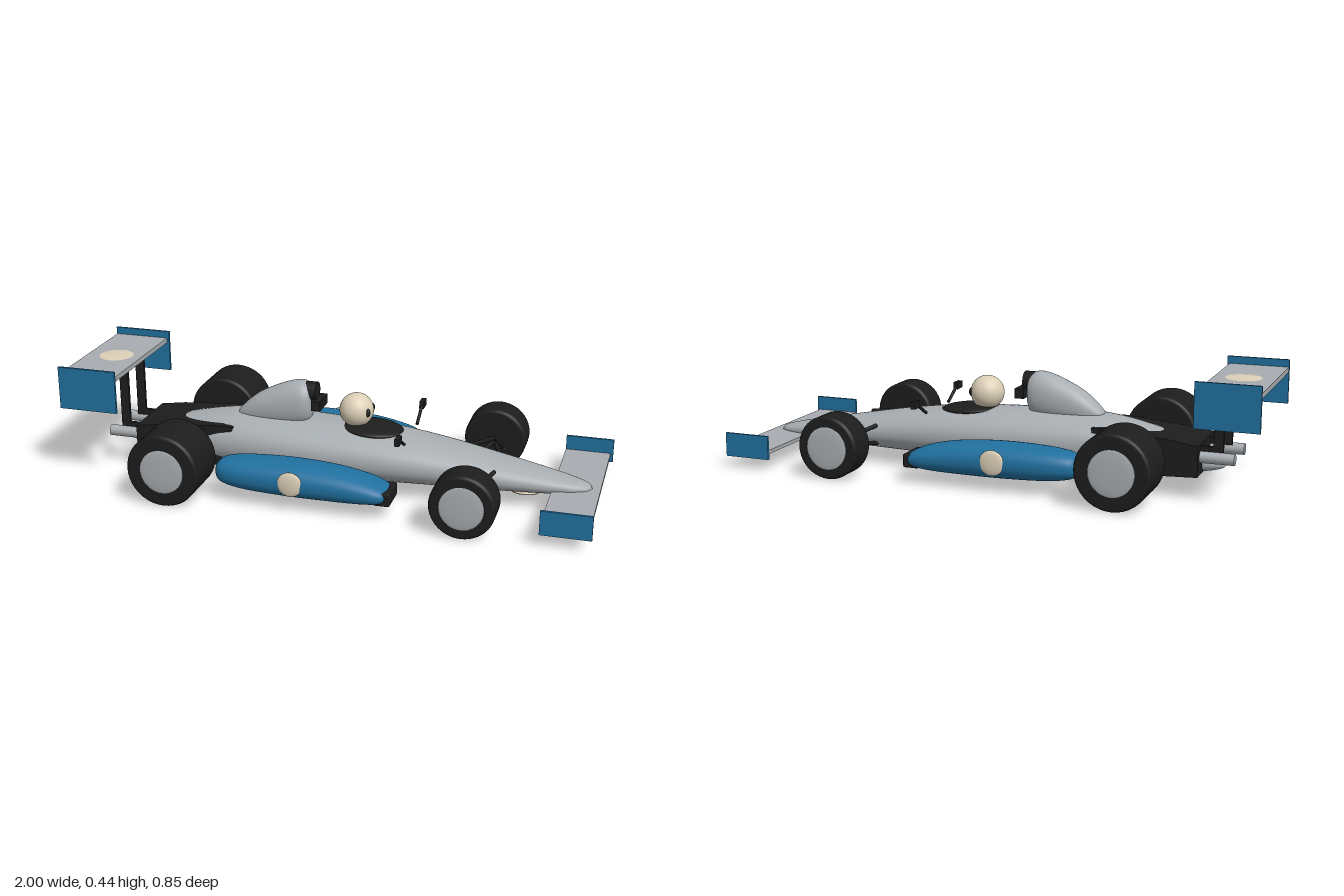
import * as THREE from 'three';
import { RoundedBoxGeometry } from 'three/addons/geometries/RoundedBoxGeometry.js';

const paint = (name, color) => {
  const m = new THREE.MeshStandardMaterial({ color });
  m.name = name;
  return m;
};

export function createModel() {
  const car = new THREE.Group();
  car.name = 'racingCar';
  const silver = paint('silver', 0xa8adb1);
  const blue = paint('blue', 0x20709f);
  const black = paint('black', 0x1d1d1d);
  const cream = paint('cream', 0xddd0b8);

  const add = (name, geometry, material, x = 0, y = 0, z = 0) => {
    const mesh = new THREE.Mesh(geometry, material);
    mesh.name = name;
    mesh.position.set(x, y, z);
    car.add(mesh);
    return mesh;
  };
  // Box given by its two opposite corners
  const box = (name, mat, [x0, y0, z0], [x1, y1, z1]) =>
    add(name, new THREE.BoxGeometry(x1 - x0, y1 - y0, z1 - z0), mat, (x0 + x1) / 2, (y0 + y1) / 2, (z0 + z1) / 2);
  const ellipsoid = (name, mat, pos, radii) =>
    add(name, new THREE.SphereGeometry(1, 32, 20).scale(...radii), mat, ...pos);
  const rod = (name, mat, a, b, r) => {
    const from = new THREE.Vector3(...a), dir = new THREE.Vector3(...b).sub(from);
    const mesh = add(name, new THREE.CylinderGeometry(r, r, dir.length(), 16), mat);
    mesh.position.copy(from).addScaledVector(dir, 0.5);
    mesh.quaternion.setFromUnitVectors(new THREE.Vector3(0, 1, 0), dir.normalize());
    return mesh;
  };

  // Smooth skin over sections [x, bottom, top, halfWidth]; power 1 is an ellipse, less is squarer
  const loft = (sections, power = 1, steps = 64, sides = 48) => {
    const heights = new THREE.CatmullRomCurve3(sections.map(s => new THREE.Vector3(s[0], s[1], s[2])), false, 'catmullrom');
    const widths = new THREE.CatmullRomCurve3(sections.map(s => new THREE.Vector3(s[3], 0, 0)), false, 'catmullrom');
    const pos = [], idx = [];
    const bend = v => Math.sign(v) * Math.abs(v) ** power;
    for (let i = 0; i <= steps; i++) {
      const h = heights.getPoint(i / steps), w = Math.max(0.0005, widths.getPoint(i / steps).x);
      for (let j = 0; j < sides; j++) {
        const a = j / sides * Math.PI * 2;
        pos.push(h.x, (h.y + h.z) / 2 + (h.z - h.y) / 2 * bend(Math.sin(a)), w * bend(Math.cos(a)));
        if (i === steps) continue;
        const k = i * sides, n = (j + 1) % sides;
        idx.push(k + j, k + sides + j, k + n, k + sides + j, k + sides + n, k + n);
      }
    }
    const g = new THREE.BufferGeometry();
    g.setAttribute('position', new THREE.Float32BufferAttribute(pos, 3));
    g.setIndex(idx);
    g.computeVertexNormals();
    return g;
  };

  // Body shell from tail to nose
  add('body', loft([
    [-0.835, 0.094, 0.096, 0], [-0.82, 0.08, 0.115, 0.025], [-0.75, 0.066, 0.145, 0.06],
    [-0.6, 0.054, 0.203, 0.105], [-0.4, 0.042, 0.242, 0.142], [-0.2, 0.038, 0.247, 0.157],
    [0, 0.037, 0.241, 0.16], [0.2, 0.039, 0.228, 0.154], [0.4, 0.044, 0.202, 0.136],
    [0.6, 0.048, 0.166, 0.11], [0.8, 0.053, 0.128, 0.076], [0.9, 0.057, 0.107, 0.051],
    [0.945, 0.063, 0.094, 0.028], [0.96, 0.077, 0.079, 0]], 0.92), silver);

  // Engine block
  const side = new THREE.Shape([[-0.76, 0.07], [-0.4, 0.055], [-0.37, 0.215], [-0.42, 0.217], [-0.66, 0.197], [-0.76, 0.182]]
    .map(p => new THREE.Vector2(...p)));
  add('engineBlock', new THREE.ExtrudeGeometry(side, { depth: 0.25, bevelEnabled: false }), black, 0, 0, -0.125);

  // Air intake behind the cockpit
  add('airbox', loft([
    [-0.385, 0.23, 0.234, 0], [-0.37, 0.21, 0.262, 0.033], [-0.3, 0.2, 0.322, 0.056],
    [-0.2, 0.2, 0.37, 0.065], [-0.14, 0.21, 0.385, 0.064], [-0.11, 0.225, 0.378, 0.058],
    [-0.095, 0.25, 0.36, 0.044], [-0.088, 0.3, 0.304, 0]], 0.9, 40, 40), silver);
  rod('intakeMouth', black, [-0.12, 0.345, 0], [-0.074, 0.345, 0], 0.037);
  box('headrest', black, [-0.085, 0.285, -0.05], [-0.05, 0.322, 0.05]);

  // Cockpit and driver
  ellipsoid('cockpit', black, [0.14, 0.225, 0], [0.118, 0.019, 0.094]).rotation.z = -0.05;
  ellipsoid('driverHead', cream, [0.078, 0.29, 0], [0.064, 0.064, 0.064]);

  // Flat round badges on the rear wing and under the nose
  ellipsoid('wingBadge', cream, [-0.885, 0.405, 0], [0.088, 0.012, 0.088]);
  ellipsoid('noseBadge', cream, [0.72, 0.054, 0], [0.066, 0.012, 0.066]);

  // Wings
  box('frontWing', silver, [0.82, 0.064, -0.353], [0.99, 0.078, 0.353]);
  box('rearWing', silver, [-0.998, 0.394, -0.257], [-0.782, 0.413, 0.257]);

  // Side pod skin, shared by both sides
  const pod = loft([
    [-0.382, 0.104, 0.108, 0], [-0.375, 0.08, 0.135, 0.035], [-0.345, 0.062, 0.154, 0.064],
    [-0.26, 0.049, 0.166, 0.082], [-0.1, 0.043, 0.171, 0.09], [0.06, 0.043, 0.162, 0.089],
    [0.18, 0.046, 0.141, 0.083], [0.245, 0.054, 0.119, 0.07], [0.27, 0.068, 0.102, 0.045],
    [0.274, 0.084, 0.086, 0]], 0.85, 48, 40);

  // Tyre with slightly rounded shoulders and a domed hub
  const wheel = (name, x, z, r, width, hubR, s) => {
    const h = width / 2, b = 0.012;
    const profile = [[0, -h], [r - b, -h], [r - b * 0.3, -h + b * 0.3], [r, -h + b], [r, h - b],
      [r - b * 0.3, h - b * 0.3], [r - b, h], [0, h]].map(p => new THREE.Vector2(...p));
    add(name + 'Tyre', new THREE.LatheGeometry(profile, 40).rotateX(Math.PI / 2), black, x, r, s * z);
    ellipsoid(name + 'Hub', silver, [x, r, s * (z + h)], [hubR, hubR, 0.006]);
  };

  for (const s of [1, -1]) {
    // Wheels
    wheel('rear', -0.535, 0.32, 0.1365, 0.2, 0.083, s);
    wheel('front', 0.555, 0.33, 0.118, 0.12, 0.08, s);

    // Suspension wishbones, upper and lower
    for (const d of [-0.065, 0.065]) {
      rod('frontUpperArm', black, [0.555 + d, 0.15, s * 0.115], [0.555, 0.122, s * 0.28], 0.008);
      rod('frontLowerArm', black, [0.555 + d, 0.08, s * 0.105], [0.555, 0.112, s * 0.28], 0.008);
      rod('rearUpperArm', black, [-0.535 + d, 0.165, s * 0.115], [-0.535, 0.142, s * 0.235], 0.008);
      rod('rearLowerArm', black, [-0.535 + d, 0.09, s * 0.115], [-0.535, 0.125, s * 0.235], 0.008);
    }

    // Side pod with intake and badge
    add('sidePod', pod, blue, 0, 0, s * 0.26);
    add('podIntake', new RoundedBoxGeometry(0.06, 0.05, 0.12, 2, 0.005), black, 0.254, 0.08, s * 0.255);
    ellipsoid('podBadge', cream, [-0.075, 0.112, s * 0.345], [0.047, 0.047, 0.011]);

    // Mirror on a stalk
    rod('mirrorStalk', black, [0.285, 0.215, s * 0.105], [0.285, 0.262, s * 0.185], 0.006);
    box('mirror', black, [0.276, 0.251, s * 0.199 - 0.023], [0.294, 0.278, s * 0.199 + 0.023]);

    // Wing end plates, rear wing posts and exhausts
    box('frontEndPlate', blue, [0.82, 0.043, s * 0.356 - 0.005], [1, 0.133, s * 0.356 + 0.005]);
    box('rearEndPlate', blue, [-1, 0.278, s * 0.259 - 0.005], [-0.773, 0.44, s * 0.259 + 0.005]);
    box('wingPost', black, [-0.84, 0.165, s * 0.074 - 0.006], [-0.805, 0.398, s * 0.074 + 0.006]);
    rod('exhaust', silver, [-0.883, 0.136, s * 0.084], [-0.7, 0.136, s * 0.084], 0.021);
    box('postFoot', black, [-0.84, 0.15, s * 0.074 - 0.006], [-0.74, 0.175, s * 0.074 + 0.006]);

    // Eyes
    ellipsoid('eye', black, [0.13, 0.293, s * 0.033], [0.009, 0.016, 0.01]);
  }
  return car;
}
